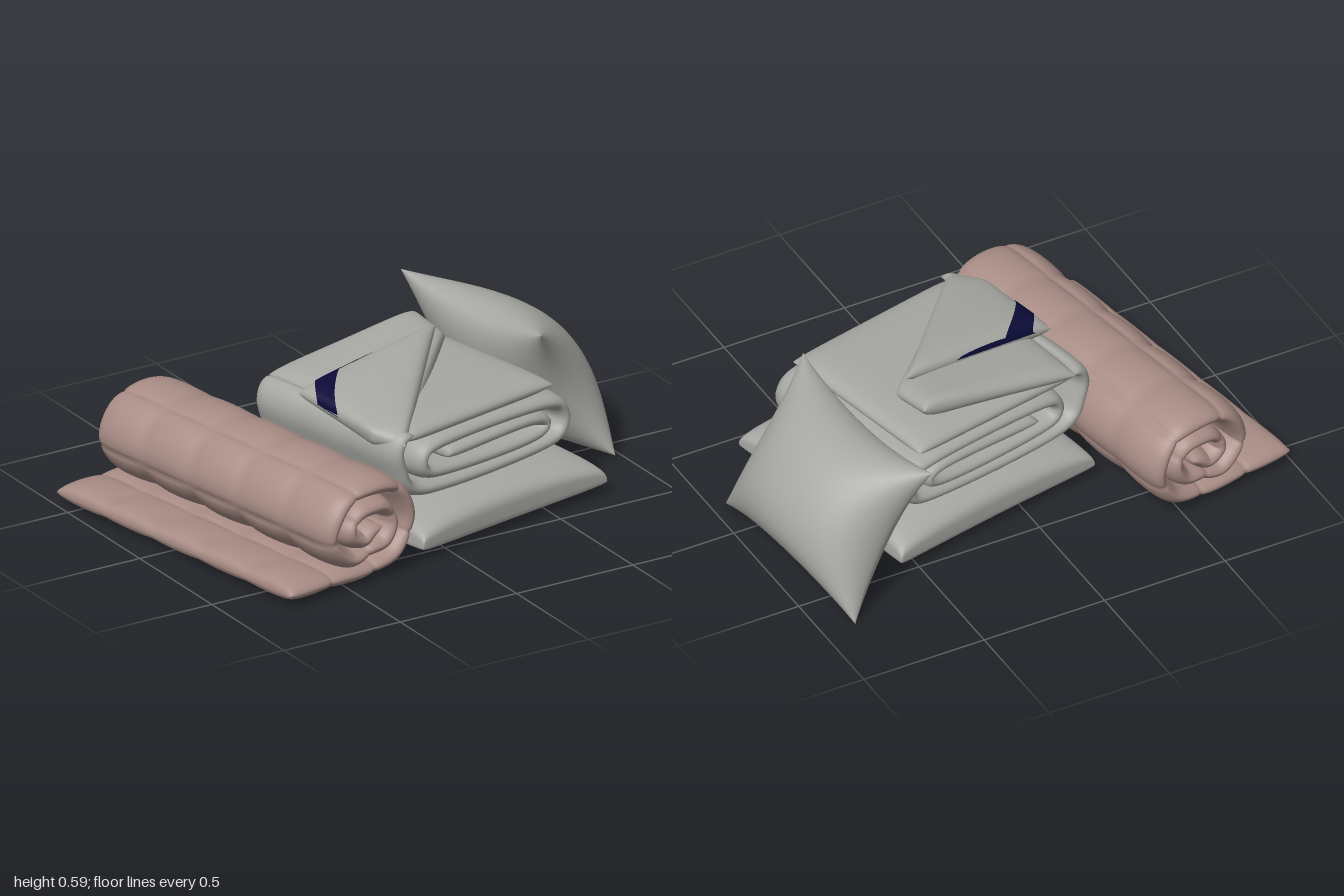
import * as THREE from 'three';
import { mergeGeometries, mergeVertices } from 'three/addons/utils/BufferGeometryUtils.js';

const V = (x, y, z) => new THREE.Vector3(x, y, z);
const clamp1 = t => Math.max(-1, Math.min(1, t));
const soft = t => Math.sin(t * Math.PI / 2); // packs samples toward the edges
const rim = (t, n) => Math.sqrt(Math.max(0, 1 - Math.pow(Math.abs(t), n)));
const quilted = (t, n) => Math.pow(Math.abs(Math.sin(n * Math.PI * (t + 1) / 2)), 0.45);

// Grid of points fn(a, b), with a and b running from -1 to 1
function sheet(fn, na, nb, flip = false) {
  const pos = [], idx = [];
  for (let i = 0; i <= na; i++)
    for (let j = 0; j <= nb; j++) pos.push(...fn(2 * i / na - 1, 2 * j / nb - 1).toArray());
  for (let i = 0; i < na; i++)
    for (let j = 0; j < nb; j++) {
      const p = i * (nb + 1) + j, q = p + nb + 1;
      if (flip) idx.push(p, q, p + 1, p + 1, q, q + 1);
      else idx.push(p, p + 1, q, p + 1, q + 1, q);
    }
  const g = new THREE.BufferGeometry();
  g.setAttribute('position', new THREE.Float32BufferAttribute(pos, 3));
  g.setIndex(idx);
  g.computeVertexNormals();
  return g;
}

// Point on one side of a stuffed shape: middle surface pushed along its normal
function stuffed(mid, half) {
  const e = 0.004;
  return (u, v, side, lift = 0) => {
    const du = mid(clamp1(u + e), v).sub(mid(clamp1(u - e), v));
    const dv = mid(u, clamp1(v + e)).sub(mid(u, clamp1(v - e)));
    const n = dv.cross(du).normalize();
    return mid(u, v).addScaledVector(n, side * (half(u, v, side) + lift));
  };
}

// Closed stuffed shape from an upper and a lower sheet
function puffy(point, nu, nv, mapU = soft) {
  const sides = [1, -1].map(s => sheet((a, b) => point(mapU(a), soft(b), s), nu, nv, s < 0));
  sides.forEach(g => g.deleteAttribute('normal'));
  const g = mergeVertices(mergeGeometries(sides), 1e-5);
  g.computeVertexNormals();
  return g;
}

// Pillow lying flat, with drawn-out corners; sag moves filling toward +x
function pillow(w, d, top, bottom, pinch, power, sag) {
  const mid = (u, v) => V(
    w * u * (1 - pinch * Math.abs(u) * (1 - v * v)), 0,
    d * v * (1 - pinch * Math.abs(v) * (1 - u * u)));
  const half = (u, v, s) => (s > 0 ? top : bottom) * (1 + sag * u) *
    Math.pow(Math.max(0, (1 - u * u) * (1 - v * v)), power);
  return puffy(stuffed(mid, half), 44, 44);
}

// Thick cloth following a side profile, swept along z to depth(u) either way
function foldedCloth(points, depth, half, nu, nv) {
  const curve = new THREE.CatmullRomCurve3(points.map(p => V(p[0], p[1], 0)), false, 'centripetal');
  curve.arcLengthDivisions = 800;
  const mid = (u, v) => curve.getPointAt((u + 1) / 2).setZ(depth(u) * v);
  return puffy(stuffed(mid, half), nu, nv, t => t);
}

// Padded four-cornered piece; corners run round the outline
function padPoint(a, b, c, d, thick, bulge) {
  const mid = (u, v) => {
    const s = (u + 1) / 2, t = (v + 1) / 2;
    const p = a.clone().lerp(b, s).lerp(d.clone().lerp(c, s), t);
    p.y += bulge * (1 - u * u) * (1 - v * v);
    return p;
  };
  return stuffed(mid, (u, v) => thick * rim(u, 8) * rim(v, 8));
}

export function createModel() {
  const model = new THREE.Group();
  const material = (name, color, side = THREE.FrontSide) => {
    const m = new THREE.MeshStandardMaterial({ color, side });
    m.name = name;
    return m;
  };
  const grey = material('grey cotton', 0xa6a6a2);
  const rose = material('dusty rose', 0xa88c85);
  const navy = material('navy label', 0x0b0b38, THREE.DoubleSide);
  const add = (name, geometry, mat, parent = model) => {
    const mesh = new THREE.Mesh(geometry, mat);
    mesh.name = name;
    parent.add(mesh);
    return mesh;
  };

  // Quilted mat: flat tail, then a roll given as [quarter turns, radius]
  const rollPath = [[-0.31, 0.045], [-0.2, 0.044], [-0.05, 0.041]];
  const turns = [[0, 0.158], [0.5, 0.172], [1, 0.183], [1.5, 0.175], [2, 0.157], [2.5, 0.178],
    [3, 0.19], [3.5, 0.142], [4, 0.083], [4.5, 0.095], [5, 0.103], [5.5, 0.093], [6, 0.078],
    [6.5, 0.09], [7, 0.098], [7.5, 0.055], [8, 0.015], [9, 0.04]];
  for (const [q, r] of turns) {
    const a = (q - 1) * Math.PI / 2;
    rollPath.push([0.1 + r * Math.cos(a), 0.199 + r * Math.sin(a)]);
  }
  const matHalf = (u, v) =>
    0.043 * rim(u, 60) * rim(v, 22) * (0.58 + 0.42 * quilted(v, 5) * quilted(u, 10));
  const matDepth = u => 0.645 + 0.012 * quilted(u, 10);
  const mat = add('rolledMat', foldedCloth(rollPath, matDepth, matHalf, 220, 80), rose);
  mat.position.set(-0.585, 0, 0.003);
  mat.rotation.y = 0.165;

  // Flat pillow under the duvet
  const flat = add('flatPillow', pillow(0.46, 0.465, 0.137, 0.05, 0.03, 0.23, 0), grey);
  flat.position.set(0.22, 0.052, 0.035);
  flat.rotation.y = 0.2;

  // Pillow leaning on the stack
  const leaning = add('leaningPillow', pillow(0.325, 0.422, 0.22, 0.135, 0.16, 0.5, 0.15), grey);
  leaning.position.set(0.745, 0.285, -0.262);
  leaning.rotation.set(-0.025, 0.1, -1.035, 'YXZ');

  // Duvet folded inward, its outer end rising on the right side
  const duvet = new THREE.Group();
  duvet.name = 'duvet';
  duvet.position.set(0.155, 0, 0.025);
  duvet.rotation.y = 0.2;
  model.add(duvet);
  const duvetPath = [[-0.18, 0.324], [0.3, 0.324], [0.33, 0.298], [0.3, 0.273], [-0.23, 0.271],
    [-0.275, 0.288], [-0.29, 0.323], [-0.275, 0.358], [-0.23, 0.375], [0.33, 0.375],
    [0.4, 0.352], [0.425, 0.298], [0.4, 0.243], [0.33, 0.221], [-0.3, 0.221], [-0.365, 0.255],
    [-0.395, 0.325], [-0.41, 0.39], [-0.39, 0.44], [-0.35, 0.455]];
  const duvetHalf = (u, v) => 0.033 * rim(u, 60) * rim(v, 14) * (0.88 + 0.12 * quilted(v, 3));
  const folds = foldedCloth(duvetPath, () => 0.385, duvetHalf, 200, 28);
  add('duvetFolds', folds, grey, duvet);

  // Upper duvet layer, set back from the folds below
  const upper = padPoint(V(-0.37, 0.435, -0.37), V(0.375, 0.435, -0.37), V(0.375, 0.435, 0.355),
    V(-0.37, 0.435, 0.37), 0.04, 0.005);
  add('upperLayer', puffy(upper, 32, 32), grey, duvet);

  // Top flap and its corner turned back
  const flap = padPoint(V(-0.265, 0.455, -0.29), V(0.38, 0.545, -0.32), V(0.4, 0.51, -0.14),
    V(-0.165, 0.425, 0.47), 0.042, 0);
  add('duvetFlap', puffy(flap, 32, 32), grey);
  const turned = padPoint(V(-0.3, 0.483, -0.03), V(0.36, 0.565, -0.14), V(-0.16, 0.425, 0.49),
    V(-0.235, 0.43, 0.38), 0.043, 0.012);
  add('turnedCorner', puffy(turned, 36, 32), grey);

  // Navy band across the turned corner, and its tapering end along the back edge
  const lerp = THREE.MathUtils.lerp;
  const band = sheet((a, b) => {
    const s = (a + 1) / 2, t = (b + 1) / 2;
    const u = lerp(lerp(-0.75, -0.36, t), -1, s);
    const v = lerp(-1, lerp(-0.48, 0.08, t), s);
    return turned(u, v, 1, 0.004);
  }, 24, 10);
  add('navyBand', band, navy);
  const edge = sheet((a, b) =>
    turned(lerp(-0.8, 0.3, (a + 1) / 2), -1 + 0.015 * (b + 1) * (1 - a * a), 1, 0.004), 20, 6);
  add('navyEdge', edge, navy);

  return model;
}
